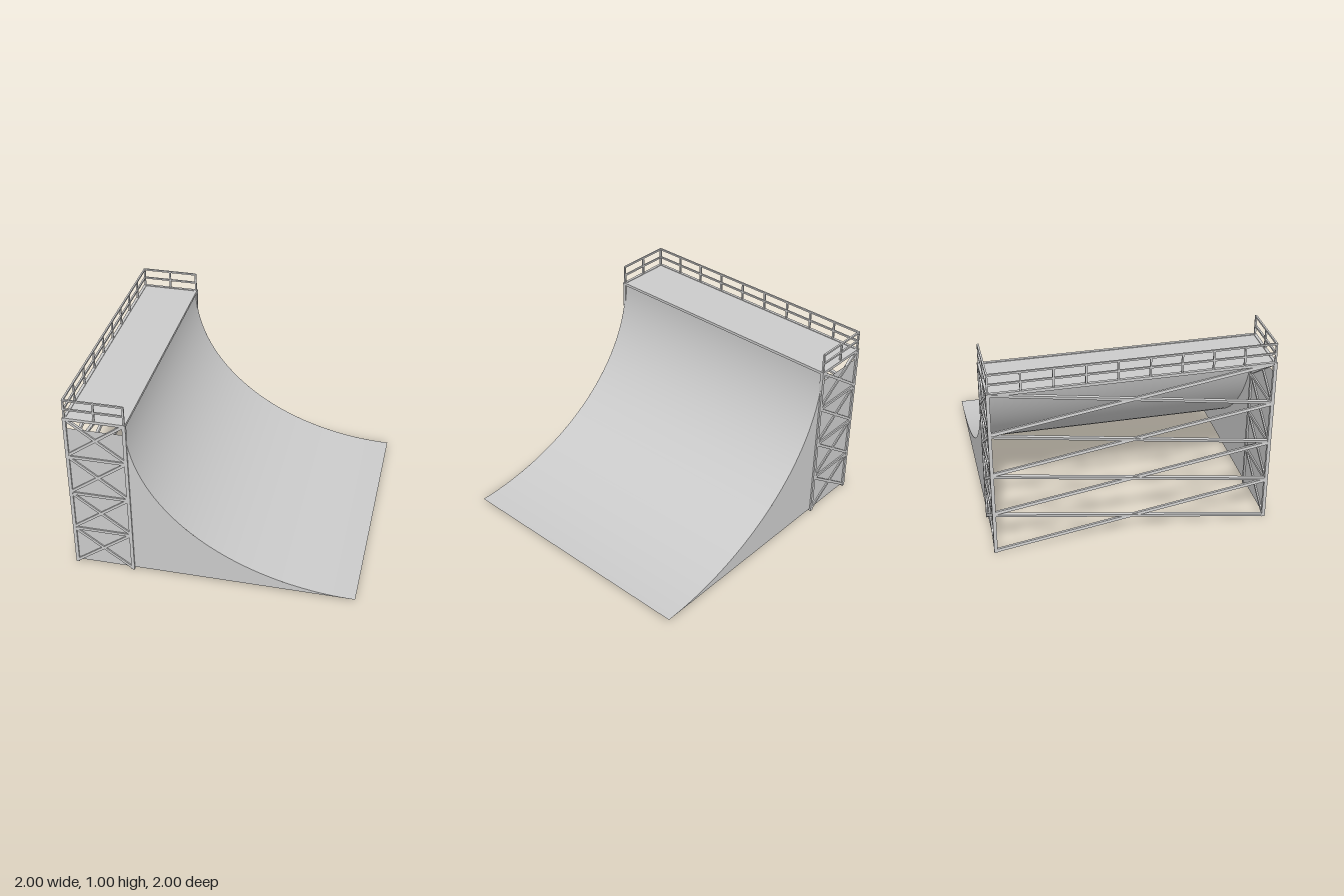
import * as THREE from 'three';

const mat = (name, color, side = THREE.FrontSide) => {
  const m = new THREE.MeshStandardMaterial({ color, side });
  m.name = name;
  return m;
};

export function createModel() {
  const grey = mat('light grey', 0xcbcbcb, THREE.DoubleSide);

  const model = new THREE.Group();
  model.name = 'quarterPipeRamp';
  const body = new THREE.Group();
  body.name = 'rampBody';
  body.rotation.y = 0.7227; // the ramp stands diagonally
  body.position.x = 0.003;
  model.add(body);

  const W = 0.687, BACK = -0.717, EDGE = -0.42, TIP = 0.727;
  const DECK = 0.89, FLOOR = 0.013, PANEL_TOP = 0.835;

  const add = (name, geometry, parent = body) => {
    const m = new THREE.Mesh(geometry, grey);
    m.name = name;
    parent.add(m);
    return m;
  };
  const group = (name) => {
    const g = new THREE.Group();
    g.name = name;
    body.add(g);
    return g;
  };
  // square bar between two points
  const bar = (name, a, b, size, parent) => {
    const p = new THREE.Vector3(...a), q = new THREE.Vector3(...b);
    const m = add(name, new THREE.BoxGeometry(size, size, p.distanceTo(q)), parent);
    m.position.copy(p).add(q).multiplyScalar(0.5);
    m.quaternion.setFromUnitVectors(new THREE.Vector3(0, 0, 1), q.sub(p).normalize());
  };

  // riding profile: quarter ellipse, phi = 0 at the deck, PI / 2 at the tip
  const curve = (phi) => [
    TIP - (TIP - EDGE) * Math.cos(phi),
    DECK - (DECK - FLOOR) * Math.sin(phi),
  ];

  // curved riding surface
  const surface = new THREE.PlaneGeometry(2 * W, 1, 1, 40);
  const pos = surface.attributes.position;
  for (let i = 0; i < pos.count; i++) {
    const [z, y] = curve((0.5 - pos.getY(i)) * Math.PI / 2);
    pos.setXYZ(i, pos.getX(i), y, z);
  }
  surface.computeVertexNormals();
  add('ridingSurface', surface);

  // side panels below the curve, running through the middle of the towers
  const start = Math.asin((DECK - PANEL_TOP) / (DECK - FLOOR));
  const outline = [new THREE.Vector2(BACK, FLOOR), new THREE.Vector2(BACK, PANEL_TOP)];
  for (let i = 0; i <= 32; i++) {
    outline.push(new THREE.Vector2(...curve(start + (Math.PI / 2 - start) * i / 32)));
  }
  for (const s of [-1, 1]) {
    const panel = add('sidePanel', new THREE.ShapeGeometry(new THREE.Shape(outline)));
    panel.rotation.y = -Math.PI / 2;
    panel.position.x = s * W;
  }

  // deck platform with a frame around it
  const deck = add('deck', new THREE.BoxGeometry(2 * W, 0.012, EDGE - BACK));
  deck.position.set(0, DECK - 0.002, (EDGE + BACK) / 2);
  const frame = group('deckFrame');
  for (const z of [BACK, EDGE]) {
    bar('deckBeam', [-W, DECK, z], [W, DECK, z], 0.015, frame);
  }

  // truss towers on both sides, with crossed braces over the open back
  const tiers = 4, step = DECK / tiers;
  for (const s of [-1, 1]) {
    const tower = group(s > 0 ? 'leftTower' : 'rightTower');
    const x = s * W;
    for (const z of [BACK, EDGE]) {
      bar('post', [x, 0, z], [x, DECK + 0.006, z], 0.017, tower);
    }
    for (let i = 0; i < tiers; i++) {
      const y0 = i * step + 0.008, y1 = (i + 1) * step;
      bar('crossbar', [x, y1, BACK], [x, y1, EDGE], 0.015, tower);
      bar('diagonal', [x, y0, BACK], [x, y1, EDGE], 0.014, tower);
      bar('diagonal', [x, y1, BACK], [x, y0, EDGE], 0.014, tower);
    }
  }
  const braces = group('backBraces');
  for (let i = 0; i < tiers; i++) {
    const y0 = i * step + 0.008, y1 = (i + 1) * step;
    bar('brace', [-W, y0, BACK], [W, y1, BACK], 0.015, braces);
    bar('brace', [-W, y1, BACK], [W, y0, BACK], 0.015, braces);
  }

  // railing around the back and sides of the deck
  const railing = group('railing');
  const run = (x0, z0, x1, z1, spans) => {
    for (const y of [0.943, 0.994]) {
      bar('rail', [x0, y, z0], [x1, y, z1], 0.009, railing);
    }
    for (let i = 0; i <= spans; i++) {
      const x = x0 + (x1 - x0) * i / spans, z = z0 + (z1 - z0) * i / spans;
      bar('railPost', [x, DECK, z], [x, 0.997, z], 0.009, railing);
    }
  };
  run(-W, BACK, W, BACK, 9);
  run(-W, BACK, -W, EDGE, 2);
  run(W, BACK, W, EDGE, 2);

  return model;
}
